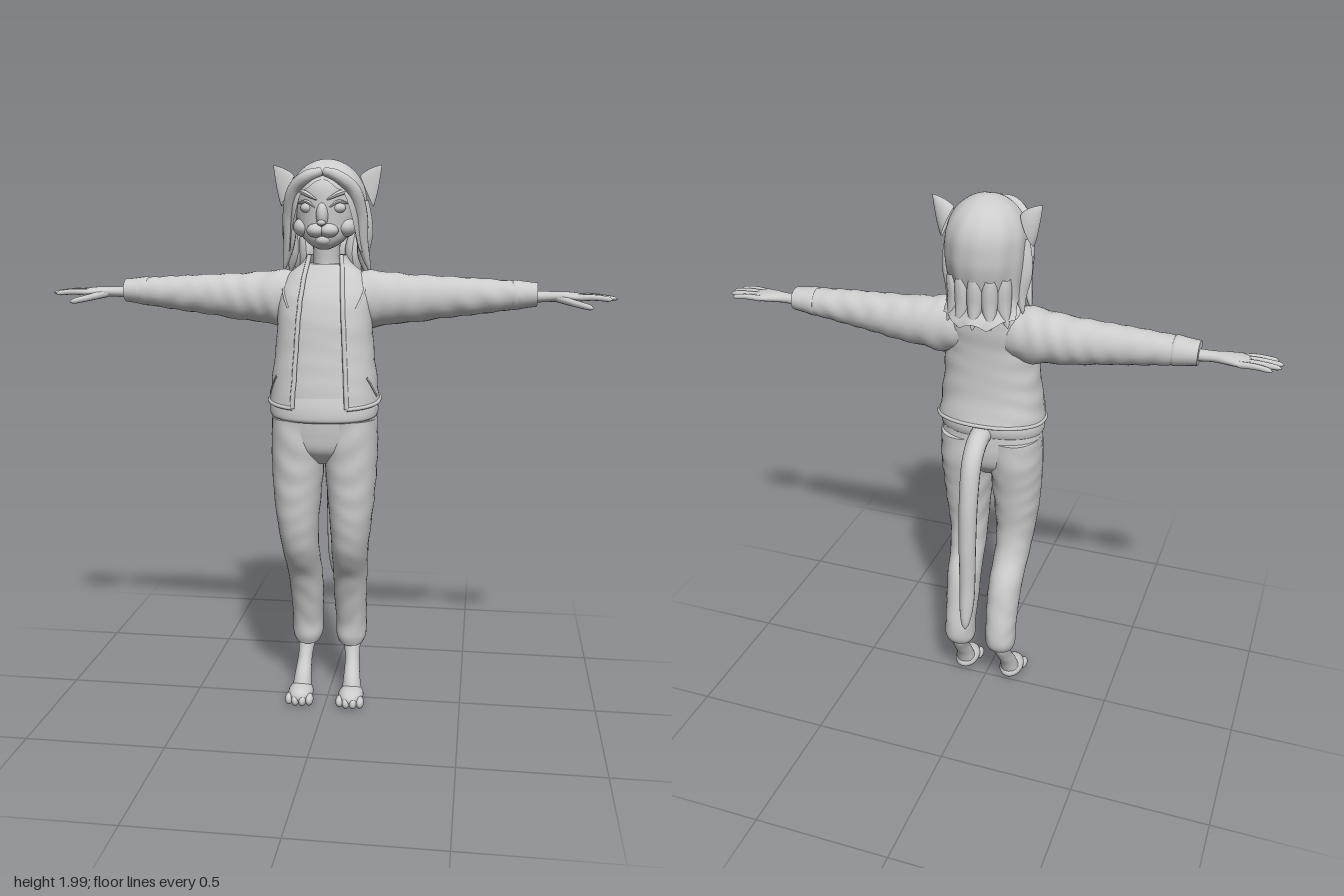
import * as THREE from 'three';

const clay = new THREE.MeshStandardMaterial({ color: 0xcccccc, side: THREE.DoubleSide });
clay.name = 'light grey';
const V = (x, y, z) => new THREE.Vector3(x, y, z);
const { sin, cos, PI, abs, sign, sqrt, min, max } = Math;
const smooth = THREE.MathUtils.smoothstep;

// grid surface from fn(u, v) -> [x, y, z]; wrap joins u = 1 to u = 0, caps close both ends
function surf(fn, nu, nv, wrap = true, caps = false) {
  const pos = [], idx = [], w = wrap ? nu : nu + 1;
  for (let j = 0; j <= nv; j++) for (let i = 0; i < w; i++) pos.push(...fn(i / nu, j / nv));
  for (let j = 0; j < nv; j++) for (let i = 0; i < nu; i++) {
    const k = (i + 1) % w, a = j * w + i, b = j * w + k, c = b + w, d = a + w;
    idx.push(a, b, c, a, c, d);
  }
  if (caps) for (const j of [0, nv]) {
    const s = pos.length / 3, mid = [0, 0, 0];
    for (let i = 0; i < w; i++) {
      const p = fn(i / nu, j / nv);
      pos.push(...p);
      p.forEach((q, n) => { mid[n] += q / w; });
    }
    pos.push(...mid);
    for (let i = 0; i < w; i++) {
      const a = s + i, b = s + (i + 1) % w;
      idx.push(s + w, j ? a : b, j ? b : a);
    }
  }
  const g = new THREE.BufferGeometry();
  g.setAttribute('position', new THREE.Float32BufferAttribute(pos, 3));
  g.setIndex(idx);
  g.computeVertexNormals();
  return g;
}

// smooth interpolation through a list of sections
function section(list, t) {
  const n = list.length - 1, f = t * n, i = min(n - 1, Math.floor(f)), s = f - i;
  const at = k => list[max(0, min(n, k))];
  return list[0].map((_, k) => {
    const a = at(i - 1)[k], b = at(i)[k], c = at(i + 1)[k], d = at(i + 2)[k];
    return b + 0.5 * s * (c - a + s * (2 * a - 5 * b + 4 * c - d + s * (3 * (b - c) + d - a)));
  });
}
const bulge = (q, e) => sign(q) * abs(q) ** e;

// upright body: sections [y, centre x, centre z, radius x, radius z] from low to high
function bodyPoint(list, a, v, { e = 1, fold = 0, tilt = 0 } = {}) {
  const [y, cx, cz, rx, rz] = section(list, v);
  const f = 1 + fold * sin(y * 75 + 2.2 * sin(a * 2 + y * 9)) * (0.6 + 0.4 * cos(a * 3));
  const z = rz * bulge(cos(a), e) * f;
  return [cx + rx * bulge(sin(a), e) * f, y - tilt * (1 - v) * z, cz + z];
}
const body = (list, o, nv = 36) => surf((u, v) => bodyPoint(list, u * 2 * PI, v, o), 32, nv, true, true);

// sideways limb: sections [x, centre y, centre z, radius y, radius z] going outwards
const limb = (list, fold = 0, nv = 40) => surf((u, v) => {
  const [x, cy, cz, ry, rz] = section(list, v), a = u * 2 * PI;
  const f = 1 + fold * sin(x * 80 + 2 * sin(a * 2 + x * 11));
  return [x, cy + ry * cos(a) * f, cz + rz * sin(a) * f];
}, 24, nv, true, true);

// tube along points, its radius shaped by a function of length
function tube(points, r, shape = () => 1, n = 24, sides = 10) {
  const curve = new THREE.CatmullRomCurve3(points);
  const g = new THREE.TubeGeometry(curve, n, r, sides), p = g.attributes.position, q = V();
  for (let i = 0; i <= n; i++) {
    const c = curve.getPointAt(i / n), k = max(0.02, shape(i / n));
    for (let j = 0; j <= sides; j++) {
      const m = i * (sides + 1) + j;
      q.fromBufferAttribute(p, m).sub(c).multiplyScalar(k).add(c);
      p.setXYZ(m, q.x, q.y, q.z);
    }
  }
  g.computeVertexNormals();
  return g;
}
const roundTip = t => (t < 0.82 ? 1 : sqrt(max(0, 1 - ((t - 0.82) / 0.18) ** 2)));
const blob = (x, y, z, a, b, c) => new THREE.SphereGeometry(1, 20, 14).scale(a, b, c).translate(x, y, z);

function mirrored(geo) {
  const g = geo.clone().scale(-1, 1, 1), x = g.index;
  for (let i = 0; i < x.count; i += 3) {
    const a = x.getX(i);
    x.setX(i, x.getX(i + 1));
    x.setX(i + 1, a);
  }
  g.computeVertexNormals();
  return g;
}

export function createModel() {
  const model = new THREE.Group();
  model.name = 'catFigure';
  const add = (name, geo) => {
    const m = new THREE.Mesh(geo, clay);
    m.name = name;
    model.add(m);
  };
  const pair = (name, geo) => {
    add(name + 'Left', geo);
    add(name + 'Right', mirrored(geo));
  };

  // trousers
  pair('trouserLeg', body([
    [0.21, 0.083, -0.058, 0.046, 0.053], [0.24, 0.083, -0.061, 0.057, 0.064], [0.3, 0.083, -0.058, 0.057, 0.067],
    [0.4, 0.082, -0.033, 0.061, 0.071], [0.5, 0.085, 0, 0.063, 0.078], [0.6, 0.09, 0.06, 0.066, 0.084],
    [0.7, 0.095, 0.085, 0.073, 0.09], [0.8, 0.097, 0.086, 0.083, 0.1], [0.9, 0.096, 0.082, 0.091, 0.109],
    [1, 0.094, 0.075, 0.096, 0.12], [1.1, 0.09, 0.075, 0.096, 0.122]], { e: 0.93, fold: 0.018, tilt: 0.15 }, 60));
  add('trouserHips', body([[0.94, 0, 0.08, 0.05, 0.06], [0.99, 0, 0.077, 0.145, 0.108],
    [1.05, 0, 0.075, 0.187, 0.122], [1.13, 0, 0.078, 0.184, 0.124]], { e: 0.9 }));

  // bare shins and paws
  pair('shin', body([[0.03, 0.095, 0.035, 0.038, 0.04], [0.09, 0.093, 0.01, 0.031, 0.038],
    [0.15, 0.09, -0.03, 0.027, 0.036], [0.21, 0.086, -0.058, 0.033, 0.04], [0.28, 0.085, -0.06, 0.035, 0.042]]));
  pair('paw', blob(0.095, 0.034, 0.053, 0.047, 0.034, 0.07));
  [-0.038, -0.013, 0.013, 0.038].forEach((dx, i) =>
    pair('toe' + i, blob(0.095 + dx, 0.022, 0.107 - abs(dx) * 0.35, 0.015, 0.022, 0.027)));

  // tail
  add('tail', tube([V(0, 1.14, -0.02), V(0, 1.13, -0.085), V(0, 1.08, -0.145), V(0, 0.95, -0.183), V(0, 0.76, -0.2),
    V(0, 0.55, -0.207), V(0, 0.4, -0.235)], 0.038, t => (1 - 0.3 * t) * roundTip(t), 48, 16));

  // shirt with hem band
  const torso = [[1.165, 0, 0.077, 0.193, 0.153], [1.25, 0, 0.08, 0.184, 0.138], [1.35, 0, 0.075, 0.172, 0.128],
    [1.45, 0, 0.068, 0.166, 0.122], [1.53, 0, 0.05, 0.164, 0.114], [1.59, 0, 0.032, 0.142, 0.095],
    [1.635, 0, 0.024, 0.088, 0.074], [1.665, 0, 0.024, 0.07, 0.062]];
  add('shirt', body(torso.slice(0, 7).map(([y, x, z, a, b]) => [y, x, z, a - 0.013, b - 0.015]),
    { e: 0.88, fold: 0.008 }));
  add('shirtHem', body([[1.11, 0, 0.087, 0.18, 0.126], [1.118, 0, 0.087, 0.19, 0.136], [1.15, 0, 0.083, 0.19, 0.138],
    [1.19, 0, 0.08, 0.178, 0.13]], { e: 0.88, tilt: 0.1 }));

  // open jacket
  const style = { e: 0.88, fold: 0.012, tilt: 0.11 };
  const jacket = (u, v) => {
    const rx = section(torso, v)[3];
    const a0 = Math.asin(min(0.85, (0.055 + 0.04 * (1 - v)) / rx) ** (1 / 0.88));
    return bodyPoint(torso, a0 + u * 2 * (PI - a0), v, style);
  };
  add('jacket', surf(jacket, 48, 44, false));
  const line = (u0, v0, u1, v1, n) => Array.from({ length: n + 1 }, (_, i) =>
    V(...jacket(u0 + (u1 - u0) * i / n, v0 + (v1 - v0) * i / n)));
  [0, 1].forEach(u => {
    add('jacketEdge' + u, tube(line(u, 0, u, 1, 20), 0.008, undefined, 50, 8));
    add('chestPocket' + u, tube(line(abs(u - 0.06), 0.5, abs(u - 0.12), 0.62, 5), 0.004));
    add('sidePocket' + u, tube(line(abs(u - 0.1), 0.16, abs(u - 0.17), 0.05, 5), 0.004));
  });
  add('jacketHem', tube(line(0, 0, 1, 0, 40), 0.007, undefined, 90, 8));

  // sleeves and cuffs
  pair('sleeve', limb([[0.08, 1.52, 0.03, 0.085, 0.08], [0.16, 1.512, 0.025, 0.1, 0.085], [0.23, 1.515, 0.02, 0.09, 0.08],
    [0.31, 1.515, 0.018, 0.083, 0.074], [0.4, 1.52, 0.018, 0.074, 0.067], [0.5, 1.524, 0.02, 0.065, 0.06],
    [0.6, 1.528, 0.02, 0.055, 0.055], [0.68, 1.532, 0.02, 0.045, 0.05]], 0.022, 60));
  pair('cuff', limb([[0.645, 1.53, 0.019, 0.049, 0.052], [0.655, 1.531, 0.019, 0.052, 0.054],
    [0.69, 1.532, 0.018, 0.046, 0.05], [0.73, 1.533, 0.018, 0.041, 0.047]], 0, 10));

  // hands
  pair('palm', limb([[0.7, 1.525, 0.018, 0.022, 0.026], [0.77, 1.527, 0.02, 0.018, 0.022], [0.82, 1.527, 0.022, 0.018, 0.036],
    [0.86, 1.526, 0.022, 0.016, 0.046], [0.895, 1.525, 0.022, 0.01, 0.043]], 0, 16));
  [[-0.014, -0.025, 0.97], [0.01, 0.007, 0.995], [0.034, 0.036, 1], [0.055, 0.067, 0.98]].forEach(([z0, z1, x], i) =>
    pair('finger' + i, tube([V(0.86, 1.526, z0), V(0.92, 1.528, (z0 + z1) / 2), V(x, 1.522, z1)], 0.0115,
      t => (1 - 0.25 * t) * roundTip(t), 14)));
  pair('thumb', tube([V(0.8, 1.522, 0.035), V(0.85, 1.51, 0.075), V(0.915, 1.495, 0.106)], 0.014,
    t => (1 - 0.3 * t) * roundTip(t), 14));

  // neck and head
  add('neck', body([[1.55, 0, 0.025, 0.06, 0.06], [1.64, 0, 0.025, 0.047, 0.05], [1.76, 0, 0.03, 0.05, 0.055]]));
  add('head', body([[1.685, 0, 0.09, 0.015, 0.018], [1.7, 0, 0.08, 0.048, 0.048], [1.73, 0, 0.062, 0.08, 0.077],
    [1.78, 0, 0.042, 0.101, 0.1], [1.84, 0, 0.028, 0.108, 0.117], [1.9, 0, 0.02, 0.103, 0.117],
    [1.95, 0, 0.01, 0.075, 0.085], [1.975, 0, 0.01, 0.02, 0.02]]));
  add('chin', blob(0, 1.717, 0.115, 0.03, 0.022, 0.03));
  add('noseBridge', blob(0, 1.8, 0.135, 0.021, 0.045, 0.03));
  add('nose', blob(0, 1.776, 0.162, 0.015, 0.01, 0.012));
  pair('muzzle', blob(0.022, 1.75, 0.132, 0.033, 0.024, 0.034));
  pair('cheek', blob(0.072, 1.76, 0.075, 0.037, 0.034, 0.045));
  pair('eye', blob(0.053, 1.825, 0.118, 0.025, 0.018, 0.02));
  pair('upperLid', tube([V(0.025, 1.827, 0.142), V(0.053, 1.846, 0.135), V(0.085, 1.84, 0.11)], 0.006, t => sin(PI * (0.1 + 0.8 * t))));
  pair('brow', tube([V(0.018, 1.852, 0.146), V(0.055, 1.872, 0.135), V(0.1, 1.885, 0.088)], 0.009, t => sin(PI * (0.1 + 0.8 * t))));

  // ears: flattened cones leaning outwards
  pair('ear', surf((u, v) => {
    const a = u * 2 * PI, k = 1 - v ** 1.4, c = cos(a) * 0.058 * k, s = -sin(a) * k;
    const dz = s > 0 ? 0.012 * s : 0.028 * s;
    return [0.138 + 0.052 * v + 0.4 * c, 1.88 + 0.09 * v - 0.9 * c, 0.015 - 0.005 * v + dz];
  }, 20, 12));

  // hair: dome with a high front hairline and ragged hem at the back
  add('hair', surf((u, v) => {
    const t = (0.5 - u) * 2 * PI, w = abs(t), side = smooth(w, 0.5, 1.15), back = smooth(w, 1.2, 2.6);
    const rag = 0.022 * side * abs(sin(t * 4.5));
    const hem = 1.925 - 0.04 * smooth(w, 0, 0.5) - 0.225 * side - 0.09 * back + rag;
    const y = 1.99 - (1.99 - hem) * v * v;
    const dome = y > 1.84 ? sqrt(max(0, 1 - ((y - 1.84) / 0.15) ** 2)) : 1;
    const low = smooth(1.8 - y, 0, 0.14), flip = smooth(1.645 - y, 0, 0.06);
    const r = dome * (1 - 0.17 * low * back + 0.2 * flip + 0.018 * v * sin(t * 11 + 5 * v));
    const part = 0.008 * Math.exp(-((t * r / 0.12) ** 2)) * v;
    return [0.137 * r * sin(t), y - part, 0.01 + 0.15 * r * cos(t)];
  }, 96, 36));
  pair('fringe', tube([V(0.005, 1.945, 0.12), V(0.05, 1.93, 0.135), V(0.1, 1.885, 0.105), V(0.122, 1.8, 0.068),
    V(0.128, 1.71, 0.05), V(0.15, 1.615, 0.03)], 0.026, t => sin(PI * (0.12 + 0.86 * t)) ** 0.6, 40, 12));
  pair('sideLock', tube([V(0.125, 1.85, 0.02), V(0.132, 1.74, 0.01), V(0.125, 1.66, 0), V(0.135, 1.6, -0.01)],
    0.028, t => sin(PI * (0.2 + 0.79 * t)) ** 0.7));
  // flicked tips along the nape
  [-0.9, -0.45, 0, 0.45, 0.9].forEach((a, i) => {
    const p = (r, y) => V(sin(a) * r, y, -cos(a) * r);
    add('napeTip' + i, tube([p(0.115, 1.74), p(0.105, 1.66), p(0.118, 1.61), p(0.138, 1.572)], 0.03,
      t => sin(PI * (0.2 + 0.79 * t)) ** 0.8));
  });
  return model;
}
